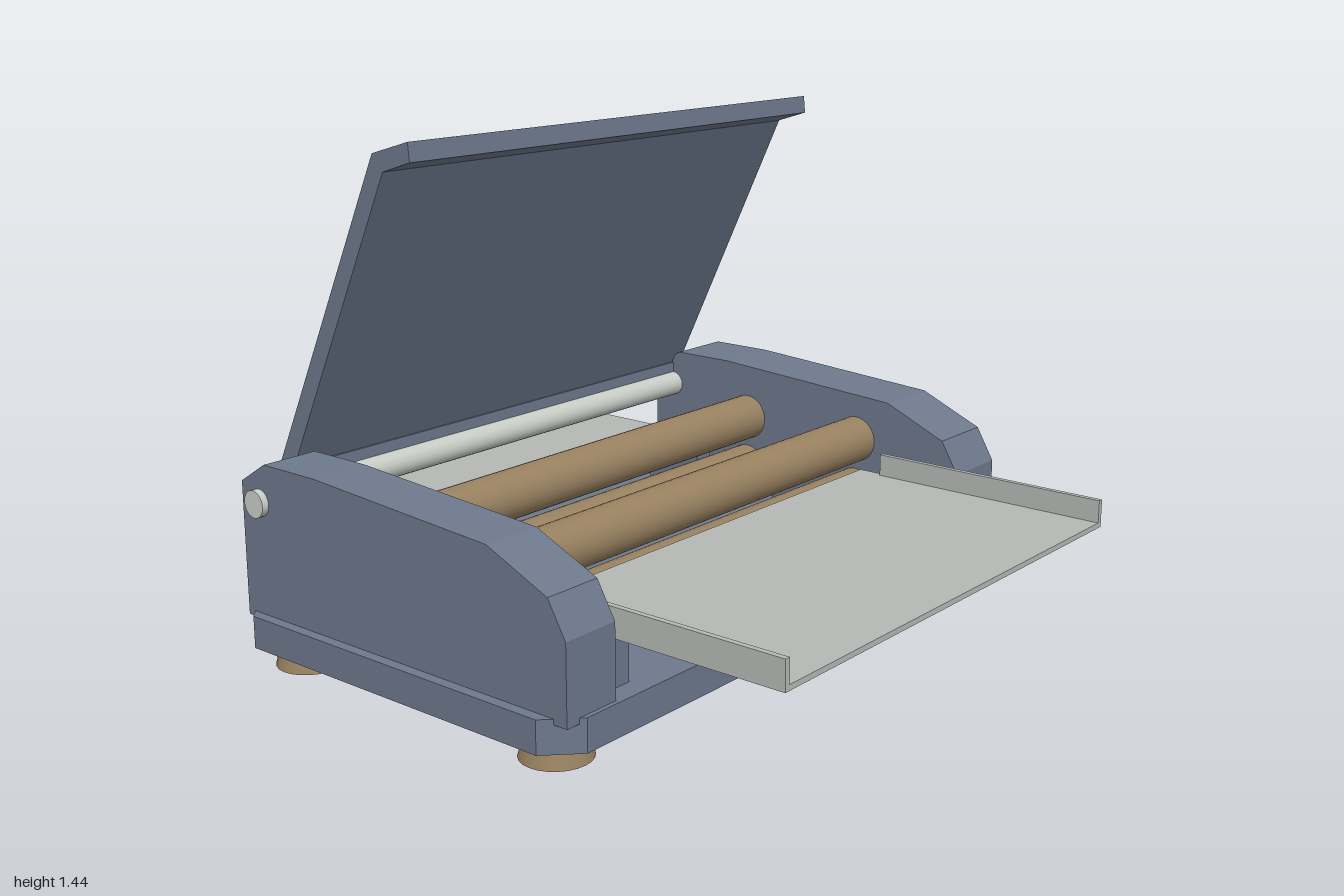
import * as THREE from 'three';

const mat = (name, color) => {
  const m = new THREE.MeshStandardMaterial({ color });
  m.name = name;
  return m;
};

export function createModel() {
  const model = new THREE.Group();
  model.name = 'rollerMachine';
  const blue = mat('slateBlue', 0x6d788c);
  const tan = mat('tan', 0x988160);
  const grey = mat('trayGrey', 0xb4b8b3);
  const steel = mat('paleSteel', 0xc8ccc6);

  const add = (name, geometry, material) => {
    const mesh = new THREE.Mesh(geometry, material);
    mesh.name = name;
    model.add(mesh);
    return mesh;
  };
  // box given by its limits on each axis
  const box = (name, material, [x0, x1], [y0, y1], [z0, z1]) =>
    add(name, new THREE.BoxGeometry(x1 - x0, y1 - y0, z1 - z0), material)
      .position.set((x0 + x1) / 2, (y0 + y1) / 2, (z0 + z1) / 2);
  const outline = (pts) => new THREE.Shape(pts.map(([a, b]) => new THREE.Vector2(a, b)));
  // (z, y) profile extruded across x
  const across = (name, material, pts, x0, x1) => {
    const g = new THREE.ExtrudeGeometry(outline(pts), { depth: x1 - x0, bevelEnabled: false });
    g.rotateY(-Math.PI / 2).translate(x1, 0, 0);
    return add(name, g, material);
  };
  // cylinder lying along x
  const bar = (name, material, r, x0, x1, y, z, sides = 32) => {
    const g = new THREE.CylinderGeometry(r, r, x1 - x0, sides).rotateZ(Math.PI / 2);
    add(name, g, material).position.set((x0 + x1) / 2, y, z);
  };

  // base plate with cut corners
  const [bx0, bx1, bz0, bz1, c] = [-1, 0.93, -0.745, 0.463, 0.085];
  const base = new THREE.ExtrudeGeometry(outline([
    [bx0 + c, -bz1], [bx1 - c, -bz1], [bx1, -bz1 + c], [bx1, -bz0 - c],
    [bx1 - c, -bz0], [bx0 + c, -bz0], [bx0, -bz0 - c], [bx0, -bz1 + c],
  ]), { depth: 0.09, bevelEnabled: false });
  base.rotateX(-Math.PI / 2).translate(0, 0.065, 0);
  add('basePlate', base, blue);

  // tapered feet
  for (const x of [-0.865, 0.79]) for (const z of [0.315, -0.595]) {
    add('foot', new THREE.CylinderGeometry(0.077, 0.095, 0.07, 24), tan).position.set(x, 0.035, z);
  }

  // side housings
  const side = [[0.45, 0.14], [0.45, 0.355], [0.395, 0.45], [0.2, 0.535],
    [-0.42, 0.575], [-0.62, 0.575], [-0.715, 0.515], [-0.715, 0.14]];
  across('rightHousing', blue, side, -0.97, -0.8);
  across('leftHousing', blue, side, 0.733, 0.94);

  // raised lid with folded front lip
  across('lid', blue, [[-0.155, 1.387], [-0.16, 1.437], [-0.29, 1.4],
    [-0.712, 0.53], [-0.664, 0.51], [-0.253, 1.357]], -0.845, 0.775);
  box('hingeRail', blue, [-0.8, 0.733], [0.505, 0.537], [-0.695, -0.645]);
  bar('hingeRod', steel, 0.038, -0.99, 0.957, 0.467, -0.645, 20);

  // two pairs of rollers
  for (const z of [0.085, -0.335]) for (const y of [0.403, 0.238]) {
    bar('roller', tan, 0.07, -0.8, 0.733, y, z);
  }

  // front tray with raised edges, and flat rear tray
  const [tx0, tx1] = [-0.78, 0.715];
  box('frontTray', grey, [tx0, tx1], [0.3, 0.315], [0.12, 0.93]);
  box('frontTrayEdge', grey, [tx0, tx0 + 0.016], [0.3, 0.38], [0.2, 0.93]);
  box('frontTrayEdge', grey, [tx1 - 0.016, tx1], [0.3, 0.38], [0.2, 0.93]);
  box('rearTray', grey, [tx0, tx1], [0.3, 0.315], [-0.93, -0.4]);

  // tray supports
  for (const z of [[0.2, 0.4], [-0.66, -0.46]]) {
    box('traySupport', blue, [-0.765, -0.695], [0.15, 0.3], z);
    box('traySupport', blue, [0.63, 0.697], [0.15, 0.3], z);
  }

  // control panel and knob on the left housing
  box('controlPanel', tan, [0.935, 0.96], [0.265, 0.445], [-0.188, 0.165]);
  bar('knob', tan, 0.045, 0.935, 1, 0.373, -0.4, 24);

  return model;
}
